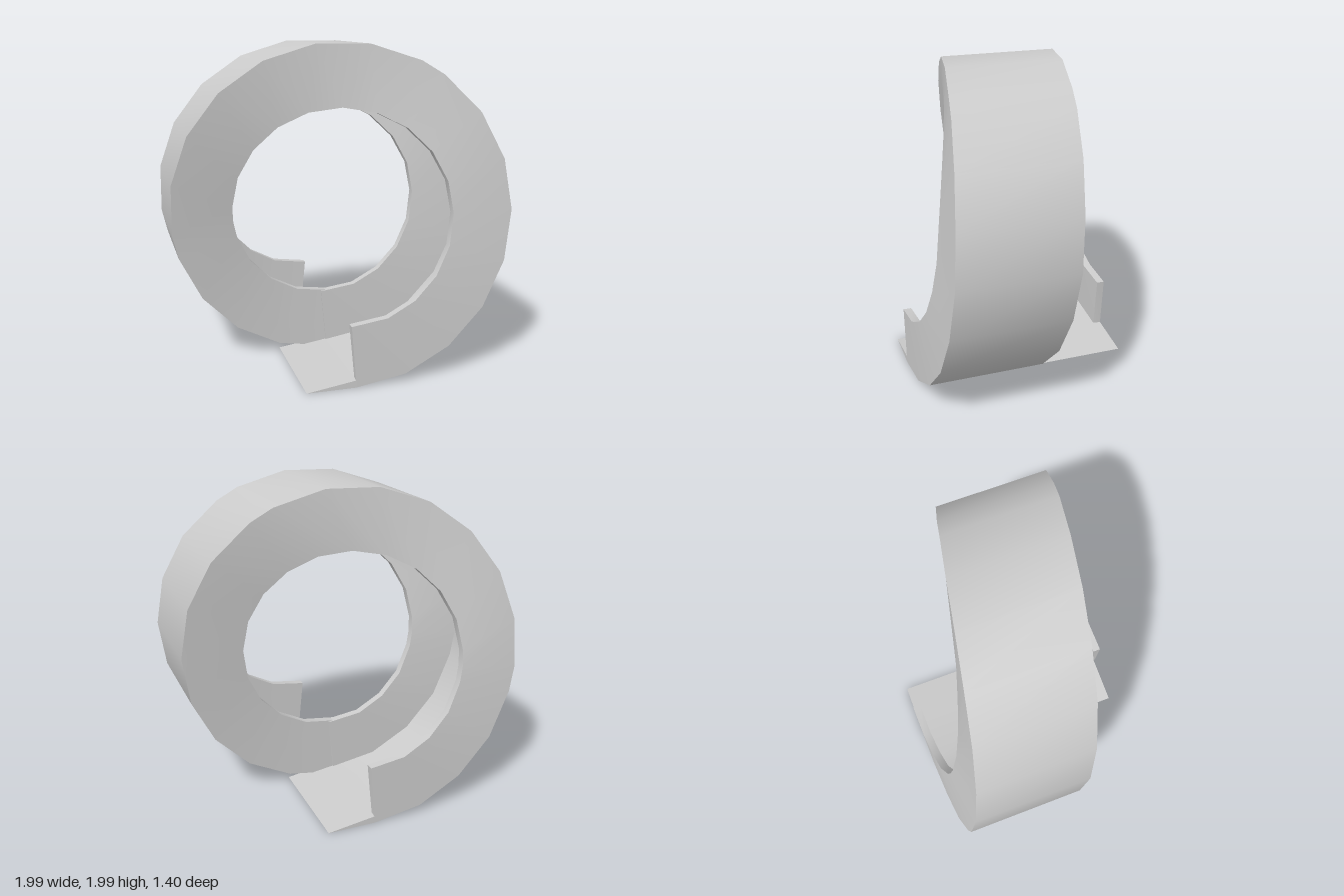
import * as THREE from 'three';
import { toCreasedNormals } from 'three/addons/utils/BufferGeometryUtils.js';

const HALF = 0.36;      // half the channel width
const WALL = 0.045;     // thickness of outer wall
const LIP = 0.05;       // thickness of the two flanges
const R_IN = 0.62;      // inner radius of the flanges

// Centre of the channel along z, by angle from the bottom (degrees)
const DRIFT = [[0, 0.34], [18, 0.335], [36, 0.325], [54, 0.31], [72, 0.29], [90, 0.265],
  [108, 0.24], [126, 0.2], [144, 0.15], [153, 0.125], [171, 0.065], [189, 0.005],
  [207, -0.055], [225, -0.11], [243, -0.165], [261, -0.215], [279, -0.255],
  [288, -0.27], [306, -0.3], [324, -0.32], [342, -0.335], [360, -0.34]];

function centreZ(deg) {
  const a = THREE.MathUtils.clamp(deg, 0, 360);
  let i = 1;
  while (DRIFT[i][0] < a) i++;
  const [a0, z0] = DRIFT[i - 1], [a1, z1] = DRIFT[i];
  return THREE.MathUtils.lerp(z0, z1, (a - a0) / (a1 - a0));
}

// Angle of the flange's inner edge that pairs with an outer angle
function innerAngle(deg) {
  if (deg === 0) return -3;
  if (deg === 360) return 363;
  return deg > 150 && deg < 270 ? deg + 9 : deg;
}

// Helical C-shaped channel making one turn
function channelGeometry() {
  const w = 1 - WALL, zi = HALF - LIP;
  const section = [[1, HALF], [1, -HALF], [R_IN, -HALF], [R_IN, -zi],
    [w, -zi], [w, zi], [R_IN, zi], [R_IN, HALF]];
  const n = section.length, pos = [], index = [];
  for (const [deg] of DRIFT) {
    for (const [r, z] of section) {
      const a = r === R_IN ? innerAngle(deg) : deg;
      const t = THREE.MathUtils.degToRad(a);
      pos.push(r * Math.sin(t), 1 - r * Math.cos(t), centreZ(a) + z);
    }
  }
  const quad = (a, b, c, d) => index.push(a, b, c, a, c, d);
  for (let i = 0; i < DRIFT.length - 1; i++) {
    for (let j = 0; j < n; j++) {
      const k = (j + 1) % n;
      quad(i * n + j, i * n + k, (i + 1) * n + k, (i + 1) * n + j);
    }
  }
  // end caps
  const last = (DRIFT.length - 1) * n;
  for (const [a, b, c, d] of [[0, 5, 6, 7], [1, 2, 3, 4], [0, 1, 4, 5]]) {
    quad(d, c, b, a);
    quad(last + a, last + b, last + c, last + d);
  }
  const g = new THREE.BufferGeometry();
  g.setAttribute('position', new THREE.Float32BufferAttribute(pos, 3));
  g.setIndex(index);
  return toCreasedNormals(g, 0.5);
}

// Flat tapered tongue that carries the outer wall on past the flange ends
function tongueGeometry() {
  const s = new THREE.Shape();
  s.moveTo(0, 0);
  s.lineTo(0, WALL);
  s.lineTo(-0.305, 0);
  s.closePath();
  const g = new THREE.ExtrudeGeometry(s, { depth: 2 * HALF, bevelEnabled: false });
  return g.translate(0, 0, DRIFT[0][1] - HALF);
}

export function createModel() {
  const model = new THREE.Group();
  model.name = 'helicalChannel';
  const mat = new THREE.MeshStandardMaterial({ color: 0xcccccc });

  const channel = new THREE.Mesh(channelGeometry(), mat);
  channel.name = 'channel';
  model.add(channel);

  // one tongue at each end, turned half round
  ['frontTongue', 'backTongue'].forEach((name, i) => {
    const tongue = new THREE.Mesh(tongueGeometry(), mat);
    tongue.name = name;
    tongue.rotation.y = i * Math.PI;
    model.add(tongue);
  });
  return model;
}
